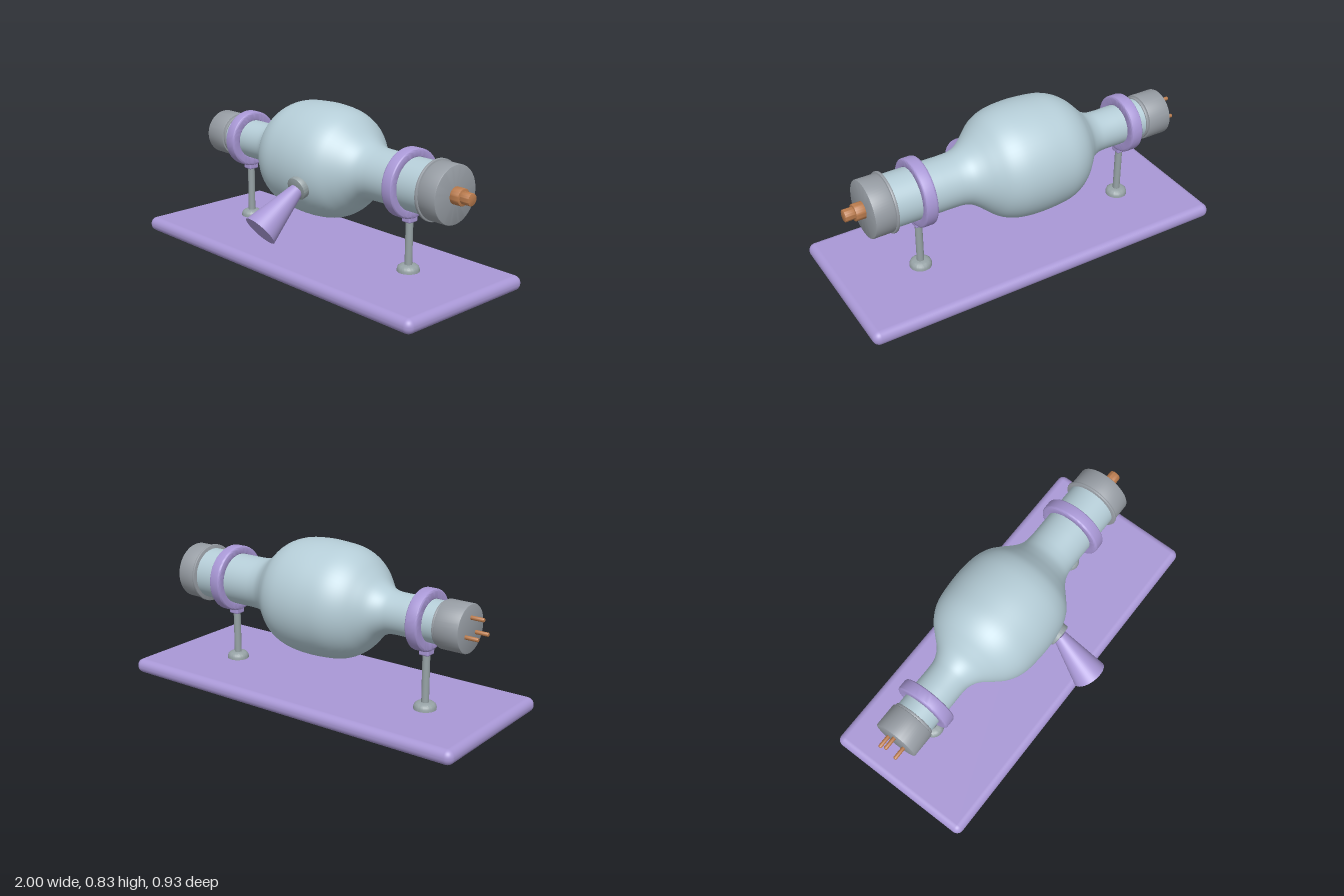
import * as THREE from 'three';
import { toCreasedNormals } from 'three/addons/utils/BufferGeometryUtils.js';
import { RoundedBoxGeometry } from 'three/addons/geometries/RoundedBoxGeometry.js';

const mat = (name, color) => new THREE.MeshStandardMaterial({ name, color });
const AXIS_Y = 0.53, AXIS_Z = -0.1;

// Revolve [radius, height] points around y; creased unless smooth
function lathe(points, smooth = false) {
  const g = new THREE.LatheGeometry(points.map(p => new THREE.Vector2(p[0], p[1])), 64);
  return smooth ? g : toCreasedNormals(g, 0.7);
}

// Solid disc profile between a and b with softened rims
const disc = (r, a, b, e = 0.006) =>
  [[0, a], [r - e, a], [r - e * 0.3, a + e * 0.3], [r, a + e], [r, b - e], [r - e * 0.3, b - e * 0.3], [r - e, b], [0, b]];

// Closed band profile with rounded outer and inner rims
function band(inner, outer, a, b) {
  const s = new THREE.Shape(), e = 0.013, i = 0.005;
  s.moveTo(inner, a + i);
  s.quadraticCurveTo(inner, a, inner + i, a);
  s.lineTo(outer - e, a);
  s.quadraticCurveTo(outer, a, outer, a + e);
  s.lineTo(outer, b - e);
  s.quadraticCurveTo(outer, b, outer - e, b);
  s.lineTo(inner + i, b);
  s.quadraticCurveTo(inner, b, inner, b - i);
  s.lineTo(inner, a + i);
  return s.getPoints(5).map(p => [p.x, p.y]);
}

export function createModel() {
  const model = new THREE.Group();
  const glass = mat('glassBlue', 0xb5cdd7);
  const steel = mat('steelGrey', 0x979da4);
  const metal = mat('postGrey', 0x96a2a5);
  const violet = mat('violet', 0xa998d6);
  const copper = mat('copper', 0xbb7c4e);

  const add = (name, geometry, material, x = 0, y = 0, z = 0) => {
    const mesh = new THREE.Mesh(geometry, material);
    mesh.name = name;
    mesh.position.set(x, y, z);
    model.add(mesh);
    return mesh;
  };
  // Parts turned around the long axis of the tube
  const axial = (name, points, material, dy = 0, dz = 0, smooth = false) =>
    add(name, lathe(points, smooth).rotateZ(-Math.PI / 2), material, 0, AXIS_Y + dy, AXIS_Z + dz);

  // Base board
  add('base', new RoundedBoxGeometry(2, 0.077, 0.826, 6, 0.037), violet, 0, 0.0385, -0.053);

  // Glass envelope
  const outline = new THREE.SplineCurve([
    [0.105, -0.56], [0.105, -0.48], [0.112, -0.43], [0.139, -0.38], [0.186, -0.335], [0.232, -0.29],
    [0.265, -0.24], [0.286, -0.18], [0.295, -0.1], [0.298, -0.02], [0.293, 0.06], [0.281, 0.12],
    [0.257, 0.175], [0.217, 0.225], [0.178, 0.27], [0.149, 0.315], [0.137, 0.36], [0.134, 0.41], [0.134, 0.48],
  ].map(p => new THREE.Vector2(p[0], p[1])));
  const envelope = outline.getPoints(72).map(p => [p.x, p.y]);
  axial('glassEnvelope', [[0.105, -0.75], ...envelope, [0.134, 0.76]], glass, 0, 0, true);

  // End caps with their thin flanges
  axial('smallCap', disc(0.12, -0.87, -0.738), steel);
  axial('smallCapFlange', disc(0.112, -0.74, -0.724, 0.004), steel);
  axial('largeCap', disc(0.147, 0.748, 0.855), steel);
  axial('largeCapFlange', disc(0.155, 0.735, 0.75, 0.004), steel);

  // Three contact pins and the stepped terminal
  for (let i = 0; i < 3; i++) {
    const a = i * Math.PI * 2 / 3;
    axial('contactPin', disc(0.01, -0.94, -0.86, 0.005), copper, 0.055 * Math.cos(a), 0.055 * Math.sin(a));
  }
  axial('terminalBase', disc(0.043, 0.85, 0.905, 0.004), copper);
  axial('terminalTip', disc(0.031, 0.9, 0.955, 0.004), copper);

  // Clamp stands: ring, block, post and domed foot
  for (const [x, inner, outer] of [[-0.635, 0.104, 0.153], [0.573, 0.133, 0.175]]) {
    const bottom = AXIS_Y - outer;
    axial('clampRing', band(inner, outer, x - 0.033, x + 0.033), violet);
    add('clampBlock', new RoundedBoxGeometry(0.056, 0.045, 0.06, 3, 0.008), violet, x, bottom, AXIS_Z);
    const top = bottom - 0.01;
    add('post', new THREE.CylinderGeometry(0.019, 0.019, top - 0.08, 32), metal, x, (top + 0.08) / 2, AXIS_Z);
    add('foot', lathe([[0, 0.07], [0.057, 0.07], [0.057, 0.088], [0.053, 0.1], [0.044, 0.108], [0.03, 0.112], [0, 0.112]]),
      metal, x, 0, AXIS_Z);
  }

  // Window collar and flared cone on the front of the bulb
  const port = new THREE.Vector3(0.075, 0.45, 0.185);
  const up = new THREE.Vector3(0, 1, 0);
  const collar = add('windowCollar', lathe(disc(0.061, -0.025, 0.012, 0.005)), metal, port.x, port.y, port.z);
  collar.quaternion.setFromUnitVectors(up, new THREE.Vector3(0, -0.28, 0.96).normalize());

  const near = new THREE.Vector3(0.076, 0.443, 0.19), far = new THREE.Vector3(0.05, 0.27, 0.41);
  const along = far.clone().sub(near), middle = near.clone().add(far).multiplyScalar(0.5);
  const cone = add('flaredCone', new THREE.CylinderGeometry(0.092, 0.035, along.length(), 48),
    violet, middle.x, middle.y, middle.z);
  cone.quaternion.setFromUnitVectors(up, along.normalize());

  return model;
}
